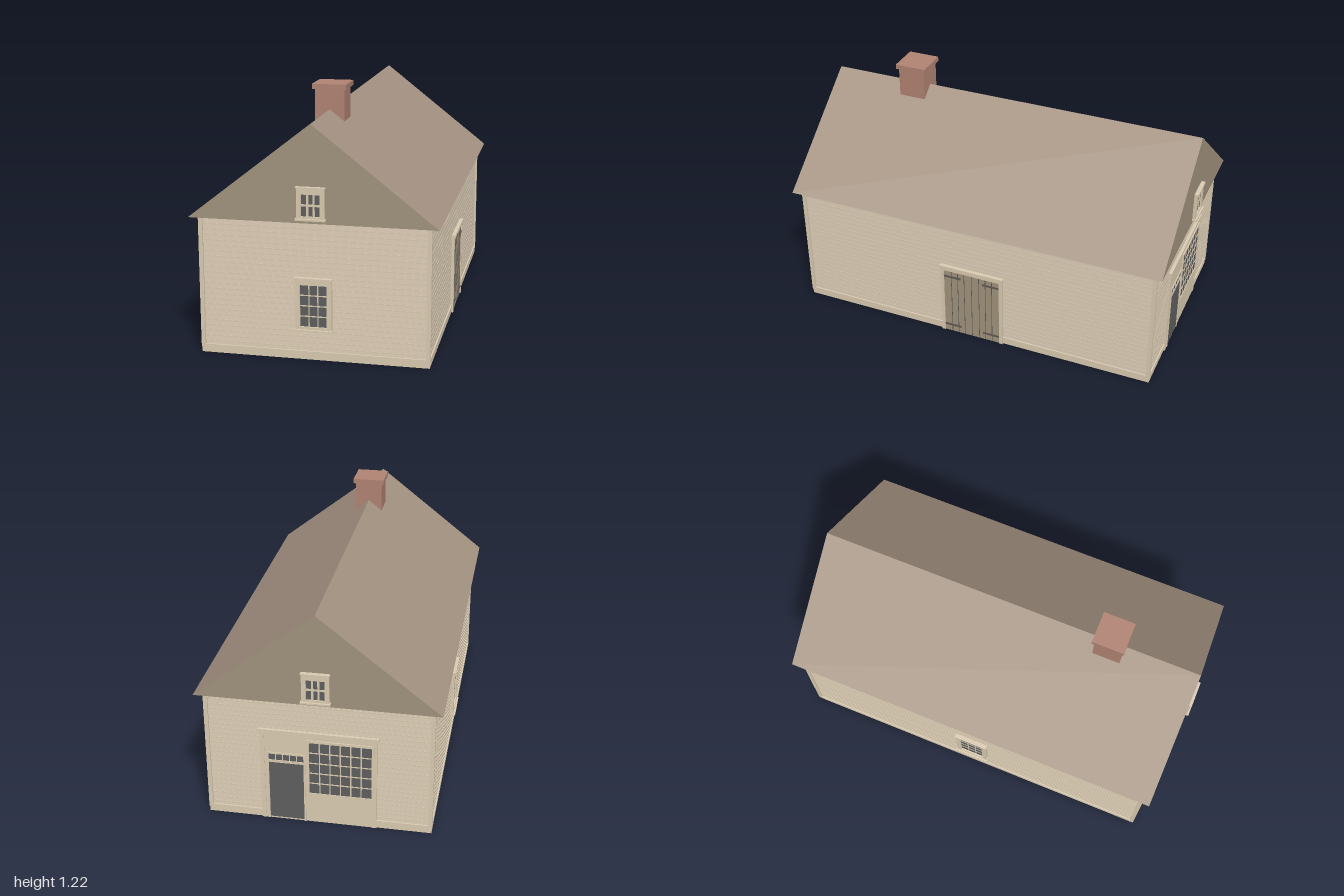
import * as THREE from 'three';

const mat = (name, color, side = THREE.FrontSide) => {
  const m = new THREE.MeshStandardMaterial({ color, side });
  m.name = name;
  return m;
};

export function createModel() {
  const siding = mat('siding', 0xe2d2bb, THREE.DoubleSide);
  const trim = mat('trim', 0xdccdb3);
  const roofMat = mat('roofShingle', 0xa59382);
  const boards = mat('weatheredBoards', 0xa2947f);
  const brick = mat('brick', 0xb18473);
  const glass = mat('glass', 0x5f5f5f);
  const iron = mat('iron', 0x5f5a52);

  const W = 0.53, L = 0.936, H = 0.655; // half width, half length, wall height
  const model = new THREE.Group();
  model.name = 'gabledShop';

  // Box given by its x, y and z ranges
  function box(parent, name, m, x0, x1, y0, y1, z0, z1) {
    const mesh = new THREE.Mesh(new THREE.BoxGeometry(x1 - x0, y1 - y0, z1 - z0), m);
    mesh.position.set((x0 + x1) / 2, (y0 + y1) / 2, (z0 + z1) / 2);
    mesh.name = name;
    parent.add(mesh);
    return mesh;
  }

  function group(parent, name) {
    const g = new THREE.Group();
    g.name = name;
    parent.add(g);
    return g;
  }

  // Glass with glazing bars
  function glazing(g, x0, x1, y0, y1, cols, rows, bar = 0.005) {
    box(g, 'glass', glass, x0, x1, y0, y1, 0, 0.007);
    for (let i = 1; i < cols; i++) {
      const x = x0 + (x1 - x0) * i / cols;
      box(g, 'verticalGlazingBar', trim, x - bar / 2, x + bar / 2, y0, y1, 0, 0.009);
    }
    for (let i = 1; i < rows; i++) {
      const y = y0 + (y1 - y0) * i / rows;
      box(g, 'horizontalGlazingBar', trim, x0, x1, y - bar / 2, y + bar / 2, 0, 0.0092);
    }
  }

  // Four-sided frame around an opening
  function frame(g, ox, oy0, oy1, ix, iy0, iy1, d) {
    for (const s of [-1, 1])
      box(g, 'jamb', trim, Math.min(s * ox, s * ix), Math.max(s * ox, s * ix), oy0, oy1, 0, d);
    box(g, 'headRail', trim, -ix, ix, iy1, oy1, 0, d);
    if (iy0 > oy0) box(g, 'bottomRail', trim, -ix, ix, oy0, iy0, 0, d);
  }

  function sashWindow(parent, name, ox, oy0, oy1, ix, iy0, iy1, cols, rows, d, bar) {
    const g = group(parent, name);
    frame(g, ox, oy0, oy1, ix, iy0, iy1, d);
    glazing(g, -ix, ix, iy0, iy1, cols, rows, bar);
    box(g, 'sill', trim, -ox - 0.005, ox + 0.005, oy0 - 0.004, oy0 + 0.004, 0, d + 0.01);
    box(g, 'headMoulding', trim, -ox - 0.003, ox + 0.003, oy1 - 0.002, oy1 + 0.004, 0, d + 0.006);
    return g;
  }

  // One wall in its own frame: x along the wall, +z outward
  function wall(name, angle, half, dist) {
    const g = group(model, name);
    g.rotation.y = angle;
    g.position.set(Math.sin(angle) * dist, 0, Math.cos(angle) * dist);
    const plane = new THREE.Mesh(new THREE.PlaneGeometry(half * 2, H), siding);
    plane.position.set(0, H / 2, -0.002);
    plane.name = 'sidingWall';
    g.add(plane);
    for (let i = 0; i < 23; i++) {
      const y = 0.056 + i * 0.0256;
      box(g, 'clapboardLap', trim, -half + 0.012, half - 0.012, y - 0.003, y + 0.003, -0.001, 0.0005);
    }
    for (const s of [-1, 1]) {
      const a = s * (half + 0.008), b = s * (half - 0.012);
      box(g, 'cornerBoard', trim, Math.min(a, b), Math.max(a, b), 0.04, H, 0, 0.008);
    }
    box(g, 'skirtBoard', trim, -half - 0.005, half + 0.005, 0, 0.025, 0, 0.005);
    box(g, 'skirtCap', trim, -half - 0.008, half + 0.008, 0.025, 0.04, 0, 0.007);
    return g;
  }

  const front = wall('frontWall', 0, W, L);
  const back = wall('backWall', Math.PI, W, L);
  const left = wall('leftWall', Math.PI / 2, L, W);
  const right = wall('rightWall', -Math.PI / 2, L, W);

  // Ceiling closing the wall shell
  const ceiling = new THREE.Mesh(new THREE.PlaneGeometry(W * 2, L * 2), siding);
  ceiling.rotation.x = Math.PI / 2;
  ceiling.position.y = H - 0.004;
  ceiling.name = 'ceiling';
  model.add(ceiling);

  sashWindow(front, 'frontWindow', 0.086, 0.143, 0.388, 0.062, 0.16, 0.358, 3, 4, 0.014);
  sashWindow(right, 'sideWindow', 0.086, 0.143, 0.388, 0.062, 0.16, 0.358, 3, 4, 0.016);

  // Double plank door on the left wall
  const barn = group(left, 'doublePlankDoor');
  frame(barn, 0.168, 0, 0.396, 0.15, 0, 0.38, 0.014);
  box(barn, 'doorHead', trim, -0.172, 0.172, 0.396, 0.408, 0, 0.019);
  box(barn, 'doorLeaves', boards, -0.15, 0.15, 0, 0.38, 0, 0.0095);
  for (const x of [-0.11, -0.075, -0.04, 0, 0.04, 0.075, 0.11])
    box(barn, 'plankGap', iron, x - 0.0015, x + 0.0015, 0.002, 0.378, 0, 0.0105);
  for (const s of [-1, 1]) for (const y of [0.04, 0.345])
    box(barn, 'strapHinge', iron, s * 0.105 - 0.045, s * 0.105 + 0.045, y - 0.005, y + 0.005, 0, 0.013);

  // Shopfront on the back wall (local x runs towards the model's right)
  const shop = group(back, 'shopfront');
  box(shop, 'shopfrontPanel', trim, -0.27, 0.27, 0, 0.47, 0, 0.0085);
  for (const s of [-1, 1])
    box(shop, 'pilaster', trim, s * 0.265 - 0.01, s * 0.265 + 0.01, 0, 0.47, 0, 0.011);
  box(shop, 'shopfrontHead', trim, -0.283, 0.283, 0.47, 0.49, 0, 0.015);
  box(shop, 'shopDoor', glass, -0.235, -0.07, 0.008, 0.315, 0, 0.01);
  box(shop, 'doorTransomRail', trim, -0.235, -0.07, 0.315, 0.328, 0, 0.013);
  const transom = group(shop, 'transomLight');
  transom.position.z = 0.003;
  glazing(transom, -0.235, -0.07, 0.328, 0.36, 5, 1);
  for (const x of [-0.243, -0.07])
    box(shop, 'doorJamb', trim, x, x + 0.008, 0, 0.368, 0, 0.013);
  box(shop, 'doorHeadRail', trim, -0.235, -0.07, 0.36, 0.368, 0, 0.013);
  const display = group(shop, 'displayWindow');
  display.position.set(0.104, 0, 0.003);
  frame(display, 0.158, 0.15, 0.45, 0.147, 0.163, 0.438, 0.011);
  glazing(display, -0.147, 0.147, 0.163, 0.438, 6, 5);

  // Roof prism: gable ends in boards, slopes and soffit in shingle
  const RZ = 0.976;
  const tri = new THREE.Shape([
    new THREE.Vector2(-0.574, H), new THREE.Vector2(0.574, H), new THREE.Vector2(0, 1.105)]);
  const prism = new THREE.ExtrudeGeometry(tri, { depth: RZ * 2, bevelEnabled: false });
  prism.translate(0, 0, -RZ);
  const roof = new THREE.Mesh(prism, [boards, roofMat]);
  roof.name = 'gableRoof';
  model.add(roof);

  // A small window in each gable
  for (const s of [1, -1]) {
    const w = sashWindow(model, s > 0 ? 'frontGableWindow' : 'backGableWindow',
      0.064, 0.676, 0.82, 0.043, 0.69, 0.79, 3, 2, 0.014, 0.01);
    w.position.z = s * RZ;
    w.rotation.y = s > 0 ? 0 : Math.PI;
  }

  // Chimney astride the ridge
  const chimney = group(model, 'chimney');
  box(chimney, 'chimneyStack', brick, -0.07, 0.07, 1.0, 1.2, 0.457, 0.595);
  box(chimney, 'chimneyCap', brick, -0.081, 0.081, 1.2, 1.224, 0.446, 0.606);

  return model;
}
